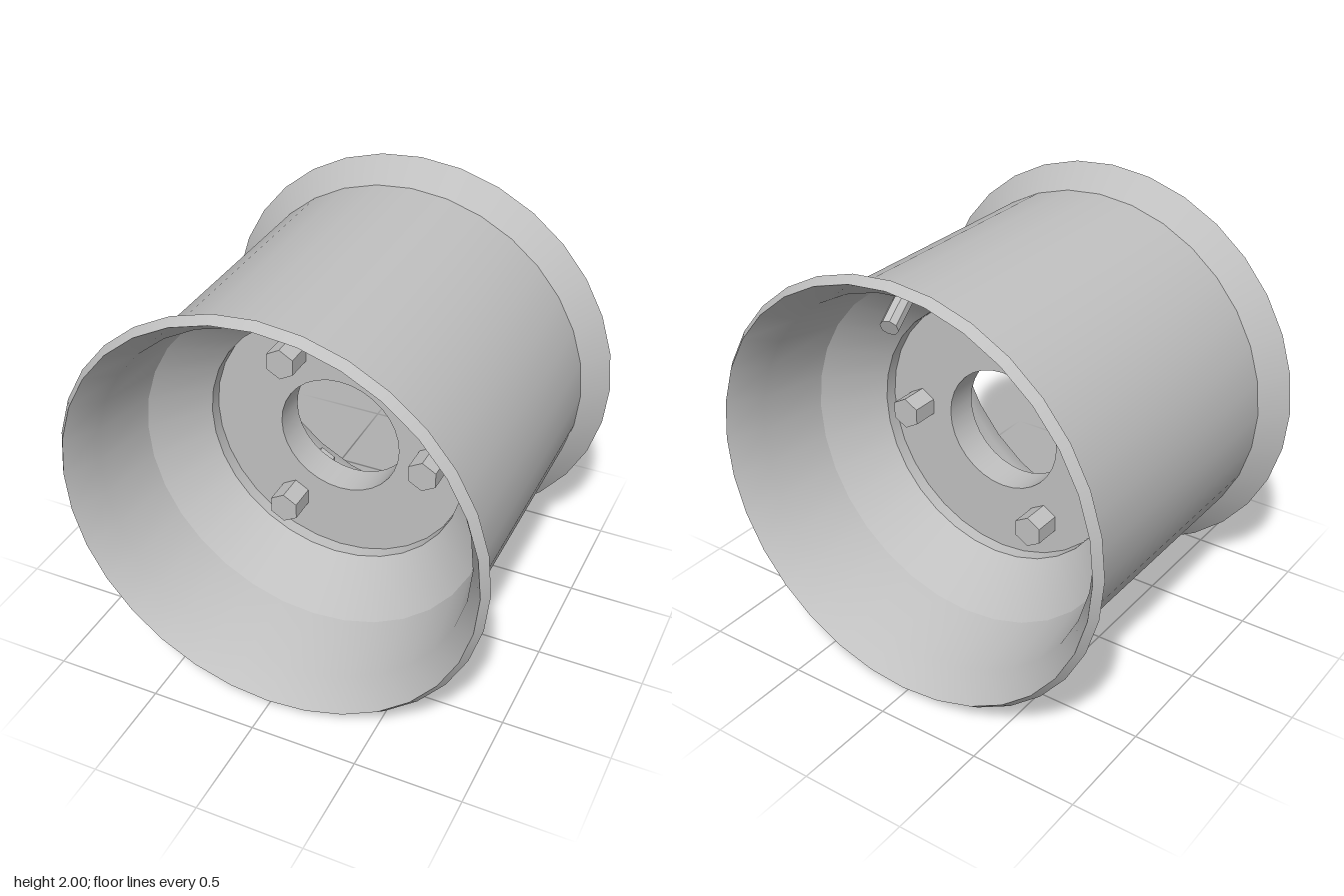
import * as THREE from 'three';

const SEGMENTS = 32;
const steel = new THREE.MeshStandardMaterial({ color: 0xc0c0c0 });
steel.name = 'grey steel';

// Ring turned about the z axis; profile points are [radius, z], smooth within one profile
function ring(name, profile) {
  const points = profile.map(([r, z]) => new THREE.Vector2(r, z));
  const geometry = new THREE.LatheGeometry(points, SEGMENTS).rotateX(Math.PI / 2);
  const mesh = new THREE.Mesh(geometry, steel);
  mesh.name = name;
  return mesh;
}

// Straight rod with flat sides between two points
function rod(name, from, to, radius, sides) {
  const axis = to.clone().sub(from);
  const geometry = new THREE.CylinderGeometry(radius, radius, axis.length(), sides).toNonIndexed();
  geometry.computeVertexNormals();
  const mesh = new THREE.Mesh(geometry, steel);
  mesh.name = name;
  mesh.position.copy(from).add(to).multiplyScalar(0.5);
  mesh.quaternion.setFromUnitVectors(new THREE.Vector3(0, 1, 0), axis.normalize());
  return mesh;
}

const polar = (r, angle, z) => new THREE.Vector3(r * Math.cos(angle), r * Math.sin(angle), z);

export function createModel() {
  const model = new THREE.Group();
  model.name = 'wheelRim';

  // Outer barrel and centre bore
  model.add(ring('barrel', [[0.89, -0.7], [0.89, 0.7]]));
  model.add(ring('centreBore', [[0.293, 0.08], [0.293, -0.08]]));

  // Both ends carry the same flange, dished inside and hub face
  const endProfiles = {
    flange: [[0.89, 0.7], [1, 0.81]],
    lip: [[1, 0.81], [0.97, 0.85]],
    innerWall: [[0.97, 0.85], [0.882, 0.7], [0.825, 0.38]],
    innerCone: [[0.825, 0.38], [0.625, 0.14]],
    hubStep: [[0.625, 0.14], [0.625, 0.08]],
    hubFace: [[0.625, 0.08], [0.293, 0.08]],
  };
  for (const side of [1, -1]) {
    const end = new THREE.Group();
    end.name = side > 0 ? 'frontEnd' : 'backEnd';
    for (const [name, profile] of Object.entries(endProfiles)) {
      const points = profile.map(([r, z]) => [r, z * side]);
      end.add(ring(name, side > 0 ? points : points.reverse()));
    }
    // Valve stem leaning in from the cone
    end.add(rod('valveStem', polar(0.775, Math.PI / 3, 0.22 * side),
      polar(0.656, Math.PI / 3, 0.45 * side), 0.044, 8));
    model.add(end);
  }

  // Three hexagonal bolts passing through the hub
  for (let i = 0; i < 3; i++) {
    const angle = (i * Math.PI * 2) / 3;
    model.add(rod('hubBolt', polar(0.457, angle, -0.21), polar(0.457, angle, 0.21), 0.075, 6));
  }

  model.position.y = 1;
  const root = new THREE.Group();
  root.add(model);
  return root;
}
